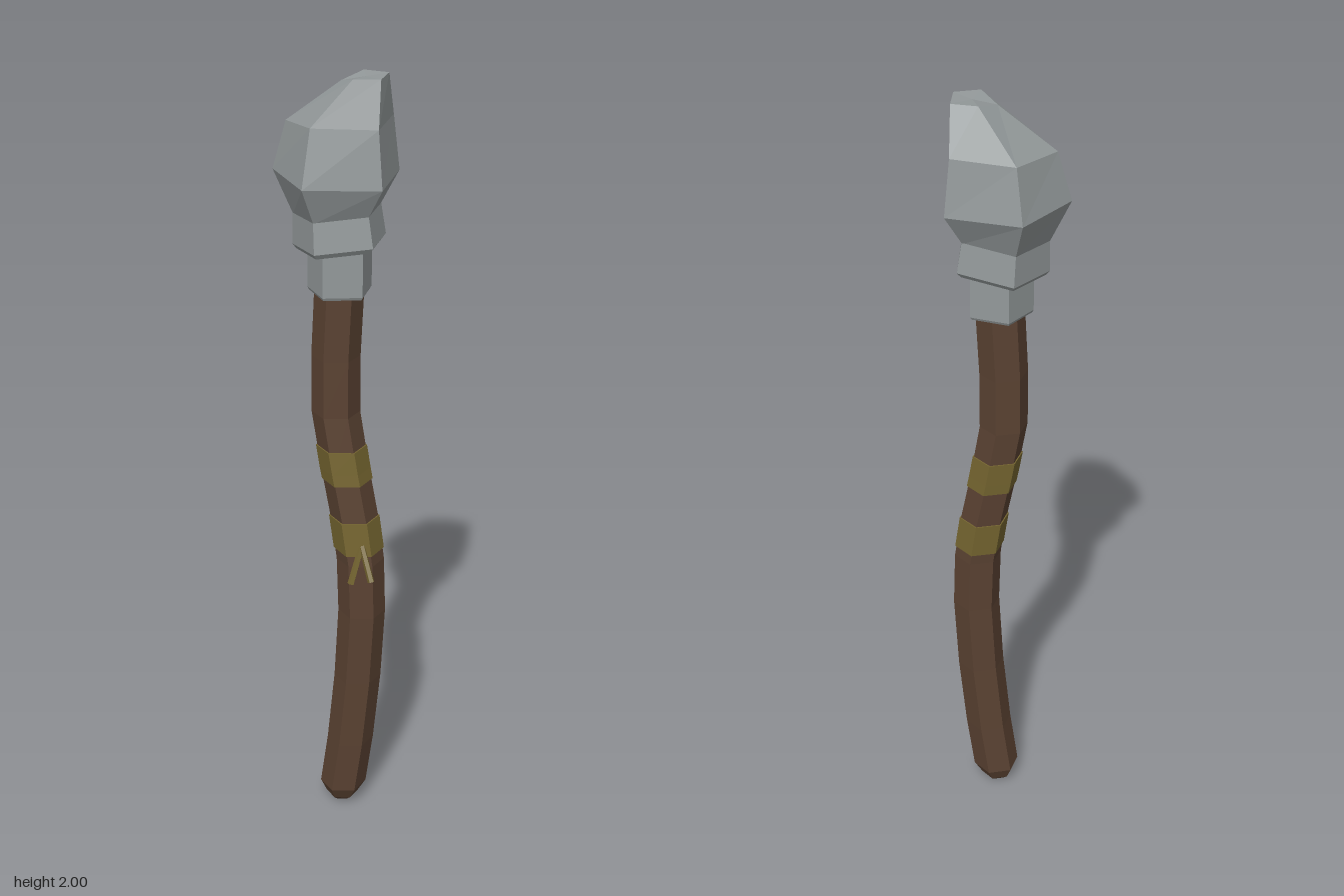
import * as THREE from 'three';

const material = (color) => new THREE.MeshStandardMaterial({ color, flatShading: true, roughness: 0.9 });
const stone = material(0x93999a);
const wood = material(0x5a4232);
const cord = material(0x756530);

// Skin a stack of closed rings (bottom to top) and cap both ends
function loft(rings) {
  const n = rings[0].length, pos = [];
  const put = (...pts) => pts.forEach((p) => pos.push(...p));
  for (let k = 0; k < rings.length - 1; k++) {
    for (let i = 0; i < n; i++) {
      const j = (i + 1) % n, a = rings[k], b = rings[k + 1];
      put(a[i], b[i], a[j], b[i], b[j], a[j]);
    }
  }
  const middle = (r) => [0, 1, 2].map((c) => r.reduce((s, p) => s + p[c], 0) / n);
  const low = rings[0], high = rings[rings.length - 1];
  for (let i = 0; i < n; i++) {
    const j = (i + 1) % n;
    put(middle(low), low[i], low[j]);
    put(middle(high), high[j], high[i]);
  }
  const geo = new THREE.BufferGeometry();
  geo.setAttribute('position', new THREE.Float32BufferAttribute(pos, 3));
  geo.computeVertexNormals();
  return geo;
}

// Irregular five-sided outline shared by the stone parts
const outline = [[0.152, 0.055], [-0.012, 0.146], [-0.152, 0.02], [-0.075, -0.148], [0.115, -0.128]];
const stoneRing = (y, scale, cx = 0, tilt = 0) =>
  outline.map(([x, z]) => [cx + x * scale, y + x * scale * tilt, z * scale]);

// Bent centre line of the shaft: height -> x
const bend = [[0, 0.025], [0.05, 0.029], [0.2, 0.05], [0.4, 0.07], [0.6, 0.081], [0.75, 0.076],
  [0.87, 0.058], [1.0, 0.032], [1.15, 0.006], [1.3, 0.006], [1.52, 0.017]];
function bendX(y) {
  const k = Math.max(1, bend.findIndex(([h]) => h >= y));
  const [y0, x0] = bend[k - 1], [y1, x1] = bend[k];
  return x0 + (x1 - x0) * (y - y0) / (y1 - y0);
}
function shaftRing(y, r) {
  return Array.from({ length: 6 }, (_, i) => {
    const a = (i * 60 + 35) * Math.PI / 180;
    return [bendX(y) + r * Math.cos(a), y, -0.002 + r * Math.sin(a)];
  });
}

export function createModel() {
  const group = new THREE.Group();
  const add = (name, geo, mat) => {
    const mesh = new THREE.Mesh(geo, mat);
    mesh.name = name;
    group.add(mesh);
  };

  // Crooked wooden shaft with a bevelled foot
  const shaftRings = [shaftRing(0, 0.025), shaftRing(0.015, 0.042)];
  bend.slice(1).forEach(([y]) => shaftRings.push(shaftRing(y, 0.061)));
  add('shaft', loft(shaftRings), wood);

  // Two cord wraps following the bend
  [[0.97, 1.0, 1.06], [0.78, 0.87]].forEach((heights, i) =>
    add(i ? 'lowerWrap' : 'upperWrap', loft(heights.map((y) => shaftRing(y, 0.0645))), cord));

  // Loose cord ends
  [[0.083, 0.71, 0.07], [0.138, 0.725, 0.066]].forEach((end, i) => {
    const path = new THREE.LineCurve3(new THREE.Vector3(0.1, 0.81, 0.042), new THREE.Vector3(...end));
    const geo = new THREE.CylinderGeometry(0.008, 0.009, path.getLength(), 5);
    geo.applyQuaternion(new THREE.Quaternion().setFromUnitVectors(
      new THREE.Vector3(0, 1, 0), path.getTangent(0).negate()));
    geo.translate(...path.getPoint(0.5).toArray());
    add(i ? 'leftCordEnd' : 'rightCordEnd', geo, cord);
  });

  // Stone neck and tilted collar
  add('neck', loft([stoneRing(1.465, 0.49, 0.013), stoneRing(1.472, 0.515, 0.013),
    stoneRing(1.6, 0.515, 0.013)]), stone);
  add('collar', loft([stoneRing(1.578, 0.68, 0.01, 0.11), stoneRing(1.59, 0.745, 0.01, 0.11),
    stoneRing(1.668, 0.7, 0.004, 0.11)]), stone);

  // Faceted stone head with an off-centre peak
  const shoulder = [[0.137, 1.89, 0.045], [-0.005, 1.895, 0.115], [-0.118, 1.88, 0.015],
    [-0.055, 1.89, -0.125], [0.105, 1.89, -0.112]];
  const peak = [[0.128, 2, 0.015], [0.07, 2, 0.045], [0.02, 1.985, 0], [0.05, 2, -0.06], [0.115, 2, -0.06]];
  add('head', loft([stoneRing(1.664, 0.69, 0.004, 0.11), stoneRing(1.755, 1, 0, -0.03), shoulder, peak]), stone);

  return group;
}
